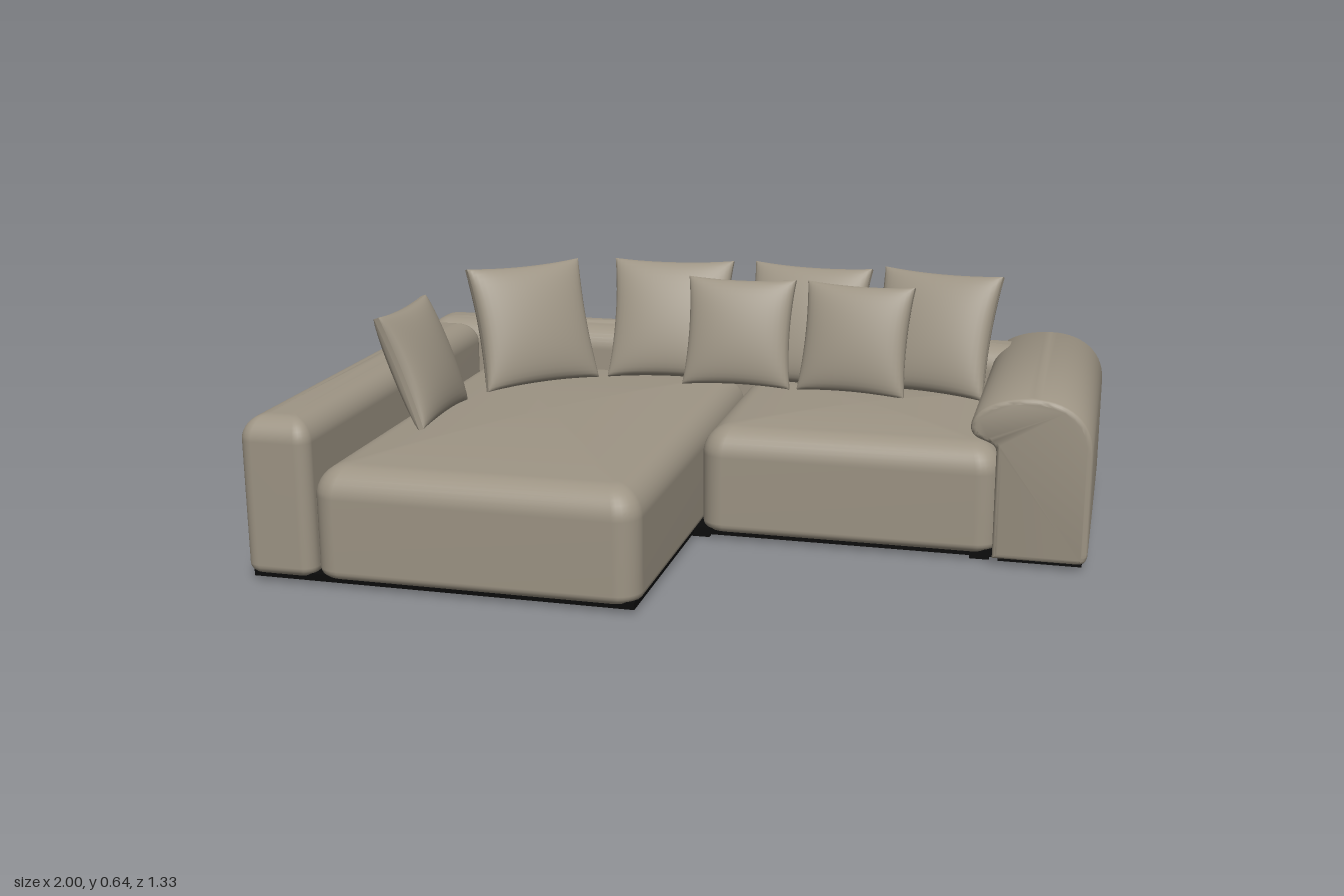
import * as THREE from 'three';
import { toCreasedNormals } from 'three/addons/utils/BufferGeometryUtils.js';

const fabric = new THREE.MeshStandardMaterial({ color: 0x9d9484 });
fabric.name = 'taupe fabric';
const black = new THREE.MeshStandardMaterial({ color: 0x0b0b0b });
black.name = 'black base';

// Upholstered block: rounded-rectangle rings stacked with soft top and bottom edges.
function softBlock([x0, x1], [y0, y1], [z0, z1], { top, bottom = 0.025, corner = 0.05, crown = 0.01 }) {
  const rings = []; // [inset, y, scale]
  for (const s of [0, 0.5, 0.98]) rings.push([bottom, y0, s]);
  for (let i = 0; i <= 5; i++) {
    const a = (i / 5) * Math.PI / 2;
    rings.push([bottom * (1 - Math.sin(a)), y0 + bottom * (1 - Math.cos(a)), 1]);
  }
  const yTop = y1 - crown;
  for (let i = 0; i <= 9; i++) {
    const a = (i / 9) * Math.PI / 2;
    rings.push([top * (1 - Math.cos(a)), yTop - top * (1 - Math.sin(a)), 1]);
  }
  for (const s of [0.9, 0.75, 0.5, 0.25, 0]) rings.push([top, yTop + crown * (1 - s * s), s]);

  const cx = (x0 + x1) / 2, cz = (z0 + z1) / 2, steps = 7, count = 4 * (steps + 1);
  const pos = [], idx = [];
  for (const [inset, y, s] of rings) {
    const r = Math.max(corner - inset * 0.6, 0.012);
    const hx = (x1 - x0) / 2 - inset - r, hz = (z1 - z0) / 2 - inset - r;
    for (let q = 0; q < 4; q++) {
      const sx = q === 0 || q === 3 ? 1 : -1, sz = q < 2 ? 1 : -1;
      for (let k = 0; k <= steps; k++) {
        const a = (q + k / steps) * Math.PI / 2;
        pos.push(cx + s * (sx * hx + r * Math.cos(a)), y, cz + s * (sz * hz + r * Math.sin(a)));
      }
    }
  }
  for (let i = 0; i < rings.length - 1; i++) {
    for (let j = 0; j < count; j++) {
      const a = i * count + j, b = i * count + (j + 1) % count;
      idx.push(a, a + count, b, b, a + count, b + count);
    }
  }
  const g = new THREE.BufferGeometry();
  g.setAttribute('position', new THREE.Float32BufferAttribute(pos, 3));
  g.setIndex(idx);
  g.computeVertexNormals();
  return g;
}

// Knife-edge pillow: puffed middle, thin seam, slightly pulled-out corners; stands on y = 0.
function pillowGeometry(size, thick) {
  const g = new THREE.BoxGeometry(2, 2, 2, 20, 20, 1);
  const p = g.attributes.position;
  for (let i = 0; i < p.count; i++) {
    const u = Math.sin(p.getX(i) * Math.PI / 2), v = Math.sin(p.getY(i) * Math.PI / 2);
    const eu = 1 - u * u, ev = 1 - v * v;
    const puff = Math.pow(Math.max(eu * ev, 0), 0.42);
    p.setXYZ(i,
      size / 2 * u * (1 - 0.07 * ev),
      size / 2 * (1 + v * (1 - 0.05 * eu)),
      Math.sign(p.getZ(i)) * (0.007 + thick / 2 * puff));
  }
  g.computeVertexNormals();
  return g;
}

// Rolled arm: profile with a rounded head overhanging the seat.
function rolledArmGeometry() {
  const s = new THREE.Shape();
  s.moveTo(0.765, 0.02);
  s.lineTo(0.765, 0.295);
  s.bezierCurveTo(0.765, 0.335, 0.70, 0.315, 0.70, 0.36);
  s.bezierCurveTo(0.70, 0.41, 0.77, 0.44, 0.85, 0.44);
  s.bezierCurveTo(0.94, 0.44, 1.0, 0.39, 1.0, 0.31);
  s.lineTo(1.0, 0.05);
  s.quadraticCurveTo(1.0, 0.02, 0.975, 0.02);
  s.closePath();
  const bevel = 0.014;
  const g = new THREE.ExtrudeGeometry(s, {
    depth: 0.79 - 2 * bevel, curveSegments: 14, bevelEnabled: true,
    bevelThickness: bevel, bevelSize: bevel, bevelOffset: -bevel, bevelSegments: 4,
  });
  g.translate(0, 0, -0.665 + bevel);
  return toCreasedNormals(g, 0.7);
}

export function createModel() {
  const sofa = new THREE.Group();
  sofa.name = 'cornerSofa';
  const add = (name, geometry, material = fabric) => {
    const m = new THREE.Mesh(geometry, material);
    m.name = name;
    sofa.add(m);
    return m;
  };

  // Upholstered body
  add('chaiseSeat', softBlock([-0.822, -0.004], [0.02, 0.322], [-0.52, 0.665], { top: 0.075, corner: 0.06, crown: 0.02 }));
  add('shortSeat', softBlock([0.002, 0.775], [0.02, 0.318], [-0.52, 0.1], { top: 0.075, corner: 0.06, crown: 0.016 }));
  add('backrest', softBlock([-1, 0.82], [0.02, 0.428], [-0.665, -0.49], { top: 0.065 }));
  add('straightArm', softBlock([-1, -0.82], [0.02, 0.428], [-0.505, 0.665], { top: 0.06, corner: 0.035 }));
  add('rolledArm', rolledArmGeometry());

  // Black underside and feet
  const slab = (name, [x0, x1], [y0, y1], [z0, z1]) => {
    const g = new THREE.BoxGeometry(x1 - x0, y1 - y0, z1 - z0);
    add(name, g.translate((x0 + x1) / 2, (y0 + y1) / 2, (z0 + z1) / 2), black);
  };
  slab('chaiseUnderside', [-0.985, -0.015], [0.012, 0.03], [-0.65, 0.65]);
  slab('seatUnderside', [-0.015, 0.78], [0.012, 0.03], [-0.65, 0.085]);
  slab('armUnderside', [0.78, 0.987], [0.012, 0.03], [-0.65, 0.11]);
  const feet = [[-0.92, 0.59], [-0.09, 0.59], [-0.92, -0.6], [-0.09, -0.6],
    [0.0, 0.05], [0.73, 0.05], [0.92, 0.05], [0.0, -0.6], [0.92, -0.6]];
  for (const [x, z] of feet) slab('foot', [x - 0.025, x + 0.025], [0, 0.014], [z - 0.025, z + 0.025]);

  // Scatter pillows: [name, x, z, yaw, tilt, size] at the bottom edge
  const large = pillowGeometry(0.345, 0.105), small = pillowGeometry(0.305, 0.095);
  const pillows = [
    ['armPillow', -0.675, 0.16, 90, 21, small],
    ['cornerPillow', -0.525, -0.21, 45, 20, large],
    ['backPillow', -0.205, -0.36, 5, 23, large],
    ['backPillow', 0.17, -0.37, -8, 23, large],
    ['backPillow', 0.525, -0.36, -14, 23, large],
    ['frontPillow', 0.005, -0.315, 1, 18, small],
    ['frontPillow', 0.33, -0.305, -7, 18, small],
  ];
  for (const [name, x, z, yaw, tilt, geometry] of pillows) {
    const m = add(name, geometry);
    m.position.set(x, 0.312, z);
    m.rotation.set(-THREE.MathUtils.degToRad(tilt), THREE.MathUtils.degToRad(yaw), 0, 'YXZ');
  }
  return sofa;
}
